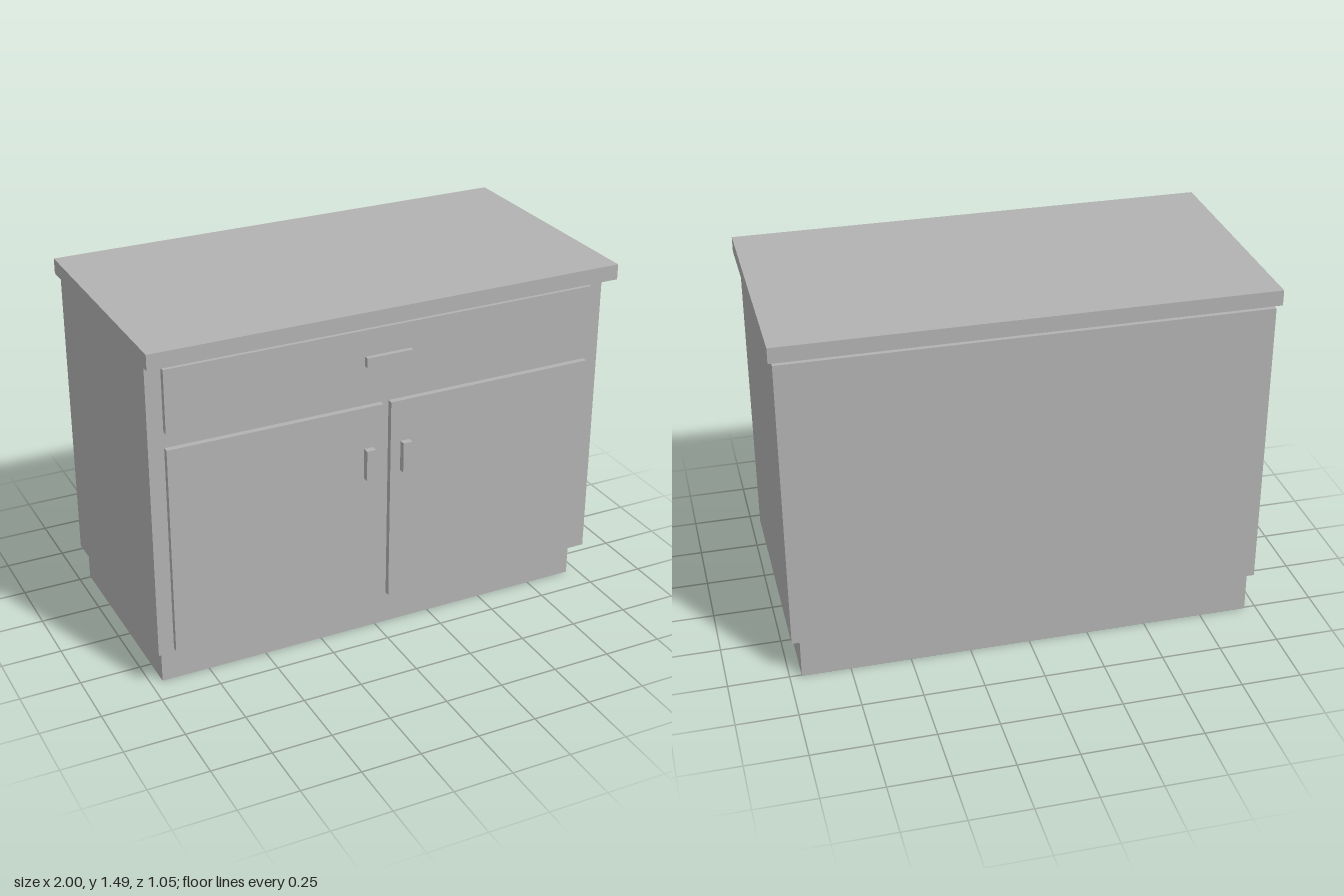
import * as THREE from 'three';

// Box given by its extents; openBottom drops the downward face.
function boxBetween(x0, x1, y0, y1, z0, z1, openBottom = false) {
  const geometry = new THREE.BoxGeometry(x1 - x0, y1 - y0, z1 - z0);
  if (openBottom) {
    const index = Array.from(geometry.index.array);
    index.splice(18, 6);
    geometry.setIndex(index);
    geometry.clearGroups();
  }
  geometry.translate((x0 + x1) / 2, (y0 + y1) / 2, (z0 + z1) / 2);
  return geometry;
}

export function createModel() {
  const group = new THREE.Group();
  group.name = 'baseCabinet';

  const grey = new THREE.MeshStandardMaterial({ color: 0xb2b2b2, side: THREE.DoubleSide });
  grey.name = 'cabinetGrey';

  const add = (name, ...extents) => {
    const mesh = new THREE.Mesh(boxBetween(...extents), grey);
    mesh.name = name;
    group.add(mesh);
  };

  // Recessed plinth and carcass, both hollow from below
  add('toeKick', -0.951, 0.951, 0, 0.165, -0.506, 0.38, true);
  add('carcass', -0.983, 0.983, 0.165, 1.411, -0.506, 0.443, true);

  // Worktop floating just above the carcass
  add('worktop', -1, 1, 1.43, 1.494, -0.524, 0.524);

  // Drawer front with horizontal handle
  add('drawerFront', -0.919, 0.919, 1.134, 1.395, 0.443, 0.467);
  add('drawerHandle', -0.099, 0.099, 1.245, 1.285, 0.467, 0.487);

  // Pair of doors with upright handles near the middle
  for (const [side, s] of [['left', 1], ['right', -1]]) {
    const span = (a, b) => (s > 0 ? [a, b] : [-b, -a]);
    add(side + 'Door', ...span(0.017, 0.919), 0.184, 1.067, 0.443, 0.467);
    add(side + 'DoorHandle', ...span(0.061, 0.1), 0.759, 0.889, 0.467, 0.494);
  }

  return group;
}
